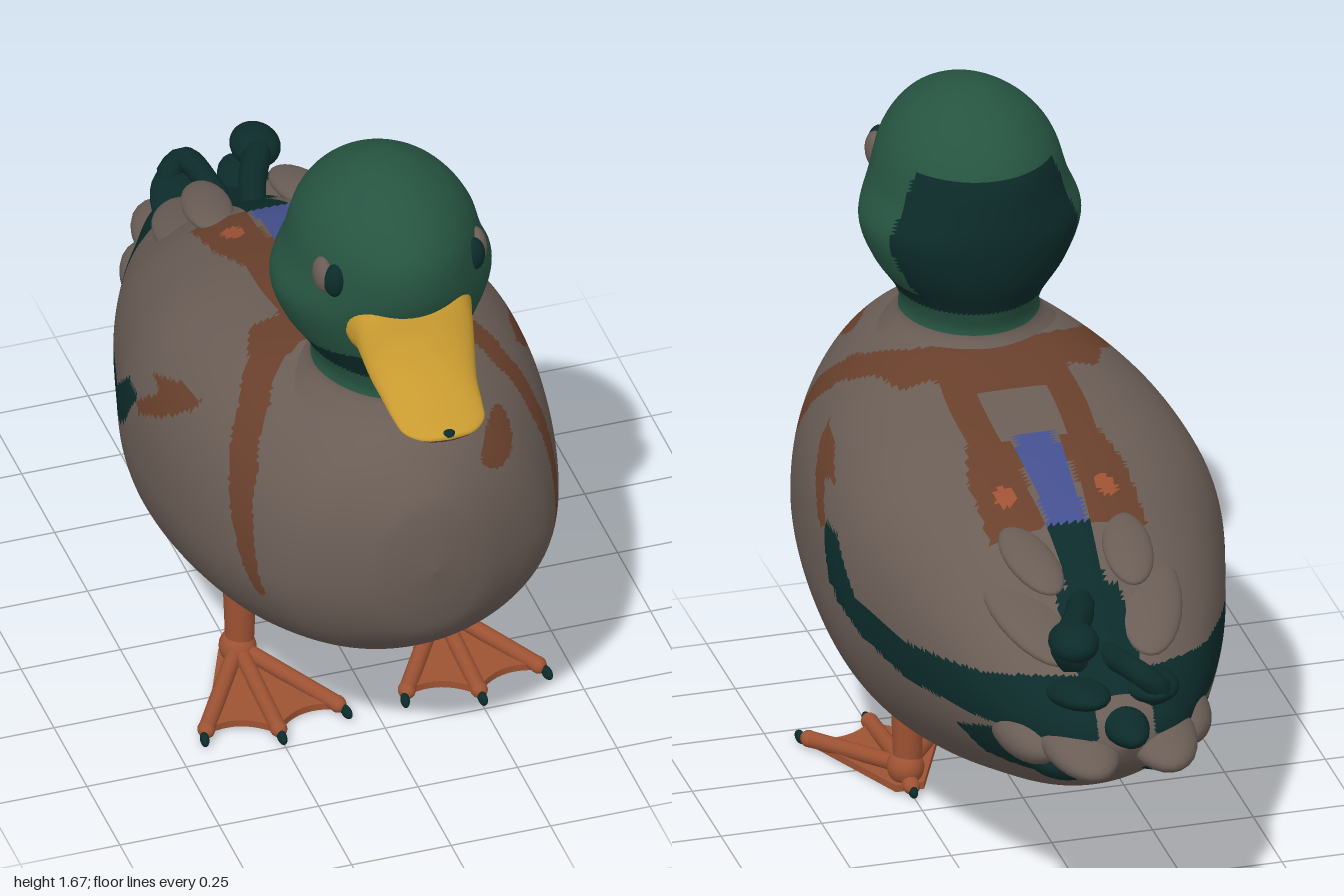
import * as THREE from 'three';

const mat = (name, color) => Object.assign(new THREE.MeshStandardMaterial({ color }), { name });

// Catmull-Rom interpolation through rows of numbers, t in 0..1
function sampleRows(rows, t) {
  const f = t * (rows.length - 1), i = Math.min(Math.floor(f), rows.length - 2), u = f - i;
  const at = k => rows[Math.max(0, Math.min(rows.length - 1, k))];
  return rows[0].map((_, c) => {
    const [a, b, d, e] = [at(i - 1)[c], at(i)[c], at(i + 1)[c], at(i + 2)[c]];
    return b + 0.5 * u * (d - a + u * (2 * a - 5 * b + 4 * d - e + u * (3 * (b - d) + e - a)));
  });
}

// Smooth closed skin through rings; paint(x, y, z) picks the material of each face
function loft(name, rows, nu, nv, ring, mats, paint) {
  const pos = [], faces = mats.map(() => []);
  for (let i = 0; i <= nu; i++) {
    const row = sampleRows(rows, i / nu);
    for (let j = 0; j < nv; j++) pos.push(...ring(row, (j / nv) * Math.PI * 2));
  }
  const add = (...tri) => {
    const mid = [0, 1, 2].map(k => tri.reduce((s, v) => s + pos[v * 3 + k], 0) / 3);
    faces[paint(...mid)].push(...tri);
  };
  for (let i = 0; i < nu; i++) for (let j = 0; j < nv; j++) {
    const k = (j + 1) % nv, a = i * nv + j, b = i * nv + k, c = a + nv, d = b + nv;
    add(a, c, b);
    add(b, c, d);
  }
  const geo = new THREE.BufferGeometry();
  geo.setAttribute('position', new THREE.Float32BufferAttribute(pos, 3));
  geo.setIndex(faces.flat());
  let start = 0;
  faces.forEach((f, m) => { geo.addGroup(start, f.length, m); start += f.length; });
  geo.computeVertexNormals();
  const mesh = new THREE.Mesh(geo, mats);
  mesh.name = name;
  return mesh;
}

// Cross-section facing z: [z, halfWidth, top, bottom, widestY, upperRoundness]
function crossSection([z, w, top, bottom, mid, n], a) {
  const c = Math.cos(a), s = Math.sin(a), p = s > 0 ? 2 / n : 1;
  const h = s > 0 ? top - mid : mid - bottom;
  return [Math.max(w, 0) * Math.sign(c) * Math.abs(c) ** p, mid + h * Math.sign(s) * Math.abs(s) ** p, z];
}

// Level ring: [y, halfWidth, backZ, frontZ], slightly narrower toward the face
function levelRing([y, w, back, front], a) {
  const s = Math.sin(a);
  return [Math.max(w, 0) * Math.cos(a) * (1 - 0.12 * Math.max(0, s)), y, (back + front) / 2 + s * (front - back) / 2];
}

function inPolygon(pts, x, y) {
  let inside = false;
  pts.forEach(([ax, ay], i) => {
    const [bx, by] = pts[(i + 1) % pts.length];
    if (ay > y !== by > y && x < ((bx - ax) * (y - ay)) / (by - ay) + ax) inside = !inside;
  });
  return inside;
}

// Painted areas on the flanks, as (z, y) outlines
const strap = [[0.2, 1.1], [0.19, 1.03], [0.3, 1.02], [0.4, 0.97], [0.49, 0.87], [0.57, 0.74], [0.65, 0.59],
  [0.68, 0.6], [0.64, 0.75], [0.57, 0.9], [0.47, 1.0], [0.34, 1.06], [0.26, 1.1]];
const streak = [[0.3, 0.92], [0.2, 0.91], [0.08, 0.86], [0.15, 0.85], [0.05, 0.77], [0.08, 0.75], [0.2, 0.82], [0.29, 0.89]];
const stripe = [[0.06, 0.78], [-0.03, 0.78], [-0.15, 0.67], [-0.34, 0.645], [-0.61, 0.67], [-0.83, 0.72],
  [-0.99, 0.62], [-0.8, 0.57], [-0.6, 0.555], [-0.35, 0.55], [-0.17, 0.58], [-0.02, 0.65]];
const rump = [[-0.53, 0.5], [-0.58, 0.44], [-0.75, 0.43], [-0.9, 0.5], [-0.7, 0.56]];

// 0 plumage, 1 dark teal, 2 brown, 3 blue, 4 orange
function paintBody(x, y, z) {
  const ax = Math.abs(x);
  if (y > 0.68 && z < 0.22) {
    if (ax < 0.05 && z < -0.08 && z > -0.39) return 3;
    if (z < -0.38 && ax < (z < -0.55 ? 0.08 : 0.05)) return 1;
    if (Math.hypot((ax - 0.125) / 0.026, (z + 0.28) / 0.035) < 1) return 4;
    if (z > -0.4 && z < -0.1 && ax < 0.195 - 0.25 * Math.max(0, z + 0.2) && ax > 0.06) return 2;
    if (z >= -0.1 && ax < 0.165 && (ax > 0.08 || z > 0.1)) return 2;
  }
  if (Math.hypot((x - 0.205) / 0.055, (y - 0.96) / 0.04) < 1 && z > 0.6) return 2;
  if (inPolygon(strap, z, y) || (ax > 0.3 && inPolygon(streak, z, y))) return 2;
  return ax > 0.07 && (inPolygon(stripe, z, y) || inPolygon(rump, z, y)) ? 1 : 0;
}

export function createModel() {
  const plumage = mat('greyBrownPlumage', 0x6a5d56), green = mat('headGreen', 0x265441);
  const teal = mat('darkTeal', 0x0c2b2a), yellow = mat('billYellow', 0xc89a30);
  const brown = mat('brown', 0x69402c), blue = mat('blue', 0x44508f), orange = mat('footOrange', 0x9d5233);
  const duck = new THREE.Group();
  duck.name = 'duck';

  const add = (name, geo, material, parent = duck) => {
    const mesh = new THREE.Mesh(geo, material);
    mesh.name = name;
    parent.add(mesh);
    return mesh;
  };
  const blob = (name, material, p, size, rot = [0, 0, 0], parent = duck) => {
    const mesh = add(name, new THREE.SphereGeometry(1, 24, 16), material, parent);
    mesh.position.set(...p);
    mesh.scale.set(...size);
    mesh.rotation.set(...rot);
  };
  const tube = (name, material, pts, r, parent = duck) => add(name, new THREE.TubeGeometry(
    new THREE.CatmullRomCurve3(pts.map(p => new THREE.Vector3(...p))), 20, r, 10), material, parent);

  // Body with folded wings
  duck.add(loft('body', [
    [0.885, 0, 0.73, 0.73, 0.73, 2], [0.87, 0.1, 0.86, 0.6, 0.72, 2], [0.84, 0.18, 0.94, 0.51, 0.7, 2],
    [0.76, 0.3, 1.03, 0.43, 0.68, 2], [0.67, 0.37, 1.07, 0.37, 0.66, 2], [0.5, 0.435, 1.08, 0.295, 0.64, 2.2],
    [0.3, 0.475, 1.075, 0.23, 0.63, 2.4], [0.1, 0.49, 1.045, 0.18, 0.62, 2.6], [-0.05, 0.482, 1.02, 0.162, 0.62, 2.6],
    [-0.2, 0.445, 0.985, 0.185, 0.62, 2.5], [-0.4, 0.385, 0.92, 0.25, 0.61, 2.3], [-0.6, 0.3, 0.8, 0.325, 0.59, 2.2],
    [-0.75, 0.22, 0.72, 0.42, 0.58, 2], [-0.88, 0.13, 0.66, 0.5, 0.58, 2], [-0.93, 0, 0.58, 0.58, 0.58, 2],
  ], 220, 180, crossSection, [plumage, teal, brown, blue, orange], paintBody));

  // Neck and head, dark at the nape and throat
  duck.add(loft('head', [
    [1.0, 0.26, 0.2, 0.75], [1.05, 0.205, 0.25, 0.71], [1.1, 0.17, 0.285, 0.675], [1.16, 0.178, 0.27, 0.685],
    [1.25, 0.235, 0.23, 0.715], [1.35, 0.27, 0.212, 0.74], [1.44, 0.24, 0.218, 0.765], [1.53, 0.212, 0.24, 0.755],
    [1.6, 0.165, 0.3, 0.7], [1.65, 0.1, 0.385, 0.61], [1.67, 0.05, 0.44, 0.55], [1.676, 0, 0.5, 0.5],
  ], 110, 96, levelRing, [plumage, green, teal], (x, y, z) => {
    if (y < 1.1) return 0;
    const nape = z < 0.34 && y < 1.53, throat = y < 1.2 + 0.25 * Math.max(0, z - 0.5);
    return y > 1.165 && (nape || throat) ? 2 : 1;
  }));

  // Bill with a brown underside
  duck.add(loft('bill', [
    [0.995, 0, 1.205, 1.195, 1.2, 2], [0.985, 0.06, 1.212, 1.19, 1.2, 2], [0.95, 0.1, 1.225, 1.193, 1.205, 2],
    [0.9, 0.112, 1.245, 1.203, 1.215, 2], [0.835, 0.12, 1.29, 1.217, 1.235, 2], [0.78, 0.133, 1.35, 1.23, 1.27, 2],
    [0.72, 0.146, 1.435, 1.24, 1.33, 2.4], [0.66, 0.146, 1.44, 1.25, 1.34, 2.4], [0.64, 0, 1.33, 1.33, 1.33, 2],
  ], 50, 48, crossSection, [yellow, brown], (x, y, z) => (y < 1.198 + Math.max(0, 0.95 - z) * 0.24 ? 1 : 0)));
  blob('billNail', teal, [0, 1.205, 0.982], [0.018, 0.012, 0.013]);

  // Tail plumes and curls
  blob('middleTailFeather', teal, [0, 0.62, -0.85], [0.06, 0.045, 0.14]);
  tube('rightTailCurl', teal, [[0, 0.78, -0.5], [0.05, 0.81, -0.66], [0.1, 0.815, -0.76], [0.13, 0.79, -0.82], [0.09, 0.77, -0.8]], 0.035);
  tube('leftTailCurl', teal, [[0, 0.7, -0.6], [-0.02, 0.73, -0.76], [-0.05, 0.74, -0.88], [-0.09, 0.7, -0.88], [-0.07, 0.67, -0.84]], 0.03);
  blob('curlTip', teal, [0.1, 0.81, -0.79], [0.06, 0.045, 0.075]);

  for (const s of [1, -1]) {
    const side = s > 0 ? 'left' : 'right';
    const feather = (name, m, [x, y, z], size, pitch, yaw) => blob(side + name, m, [s * x, y, z], size, [pitch, s * yaw, 0]);
    feather('TailFeather', plumage, [0.1, 0.56, -0.82], [0.09, 0.05, 0.175], -0.1, 0.05);
    feather('OuterTailFeather', plumage, [0.19, 0.54, -0.69], [0.075, 0.06, 0.15], 0, 0.1);
    feather('UnderTailFeather', teal, [0.11, 0.49, -0.74], [0.09, 0.055, 0.13], 0.15, 0.1);
    feather('UpperTailFeather', teal, [0.09, 0.67, -0.78], [0.07, 0.035, 0.14], 0.2, 0.1);
    feather('WingTip', plumage, [0.15, 0.78, -0.57], [0.08, 0.03, 0.19], -0.3, 0.25);
    feather('BackFeather', plumage, [0.12, 0.885, -0.49], [0.06, 0.025, 0.14], -0.2, 0.15);

    // Eyes
    blob(side + 'Eye', plumage, [s * 0.192, 1.465, 0.61], [0.025, 0.046, 0.04]);
    blob(side + 'Pupil', teal, [s * 0.172, 1.465, 0.645], [0.03, 0.045, 0.028]);

    // Leg and webbed foot
    const leg = new THREE.Group();
    leg.name = side + 'Leg';
    leg.position.x = s * 0.252;
    duck.add(leg);
    blob('thigh', plumage, [-s * 0.01, 0.29, 0.14], [0.07, 0.07, 0.075], [0, 0, 0], leg);
    add('shank', new THREE.CylinderGeometry(0.042, 0.034, 0.22, 16), orange, leg).position.set(-s * 0.005, 0.165, 0.14);
    blob('ankle', orange, [0, 0.055, 0.14], [0.045, 0.045, 0.05], [0, 0, 0], leg);
    const web = new THREE.Shape();
    web.moveTo(-0.035, 0.1);
    web.lineTo(-0.165, 0.4);
    web.quadraticCurveTo(-0.07, 0.36, 0, 0.45);
    web.quadraticCurveTo(0.07, 0.36, 0.165, 0.4);
    web.lineTo(0.035, 0.1);
    const webGeo = new THREE.ExtrudeGeometry(web, { depth: 0.018, bevelEnabled: false }).rotateX(Math.PI / 2);
    add('web', webGeo, orange, leg).position.y = 0.026;
    for (const [x, z] of [[-0.165, 0.4], [0, 0.45], [0.165, 0.4], [0, 0.09]]) {
      tube('toe', orange, [[0, 0.055, 0.14], [x * 0.5, 0.04, 0.07 + z * 0.5], [x, 0.025, z]], 0.02, leg);
      blob('toeTip', orange, [x, 0.025, z], [0.021, 0.02, 0.025], [0, 0, 0], leg);
      blob('claw', teal, [x * 1.08, 0.018, z + (z > 0.2 ? 0.028 : -0.015)], [0.011, 0.016, 0.024], [0, x, 0], leg);
    }
  }
  return duck;
}
